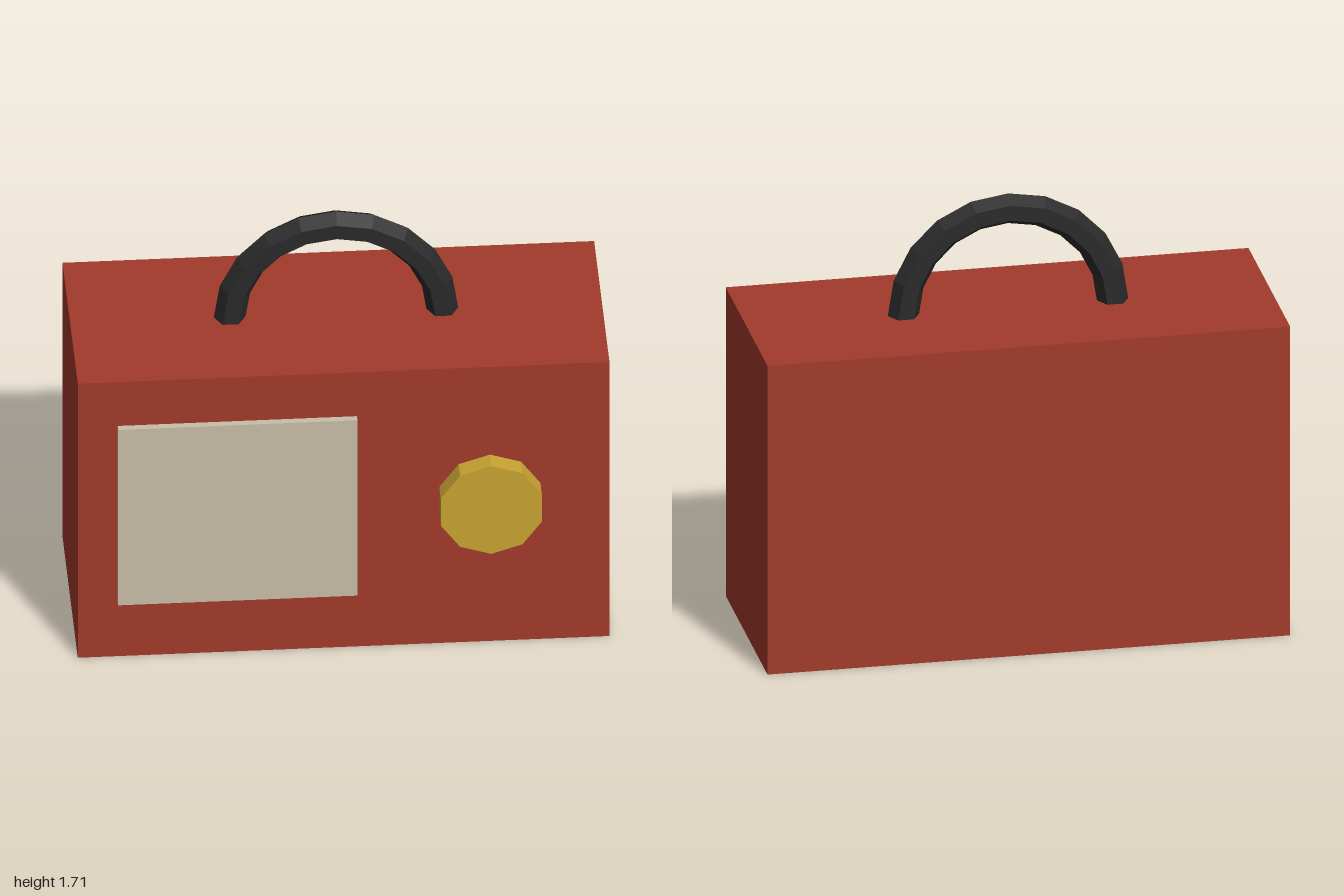
import * as THREE from 'three';

function material(name, color) {
  const m = new THREE.MeshStandardMaterial({ color });
  m.name = name;
  m.flatShading = true;
  return m;
}

export function createModel() {
  const model = new THREE.Group();
  model.name = 'radio';

  const add = (name, geometry, mat, x, y, z) => {
    const mesh = new THREE.Mesh(geometry, mat);
    mesh.name = name;
    mesh.position.set(x, y, z);
    model.add(mesh);
    return mesh;
  };

  const red = material('caseRed', 0xa33a2c);
  const cream = material('grilleCream', 0xc8bfa8);
  const gold = material('knobGold', 0xc8a432);
  const black = material('handleBlack', 0x2a2a2a);

  // Case
  add('case', new THREE.BoxGeometry(2, 1.25, 0.8), red, 0, 0.625, -0.04);

  // Speaker panel, set slightly into the case front
  add('speakerPanel', new THREE.BoxGeometry(0.9, 0.8, 0.05), cream, -0.4, 0.65, 0.362);

  // Ten-sided tuning knob facing forward
  const knob = new THREE.CylinderGeometry(0.2, 0.2, 0.1, 10).rotateX(Math.PI / 2);
  add('tuningKnob', knob, gold, 0.55, 0.65, 0.387);

  // Half-ring carrying handle with a hexagonal section
  add('handle', new THREE.TorusGeometry(0.4, 0.06, 6, 10, Math.PI), black, 0, 1.25, -0.04);

  return model;
}
